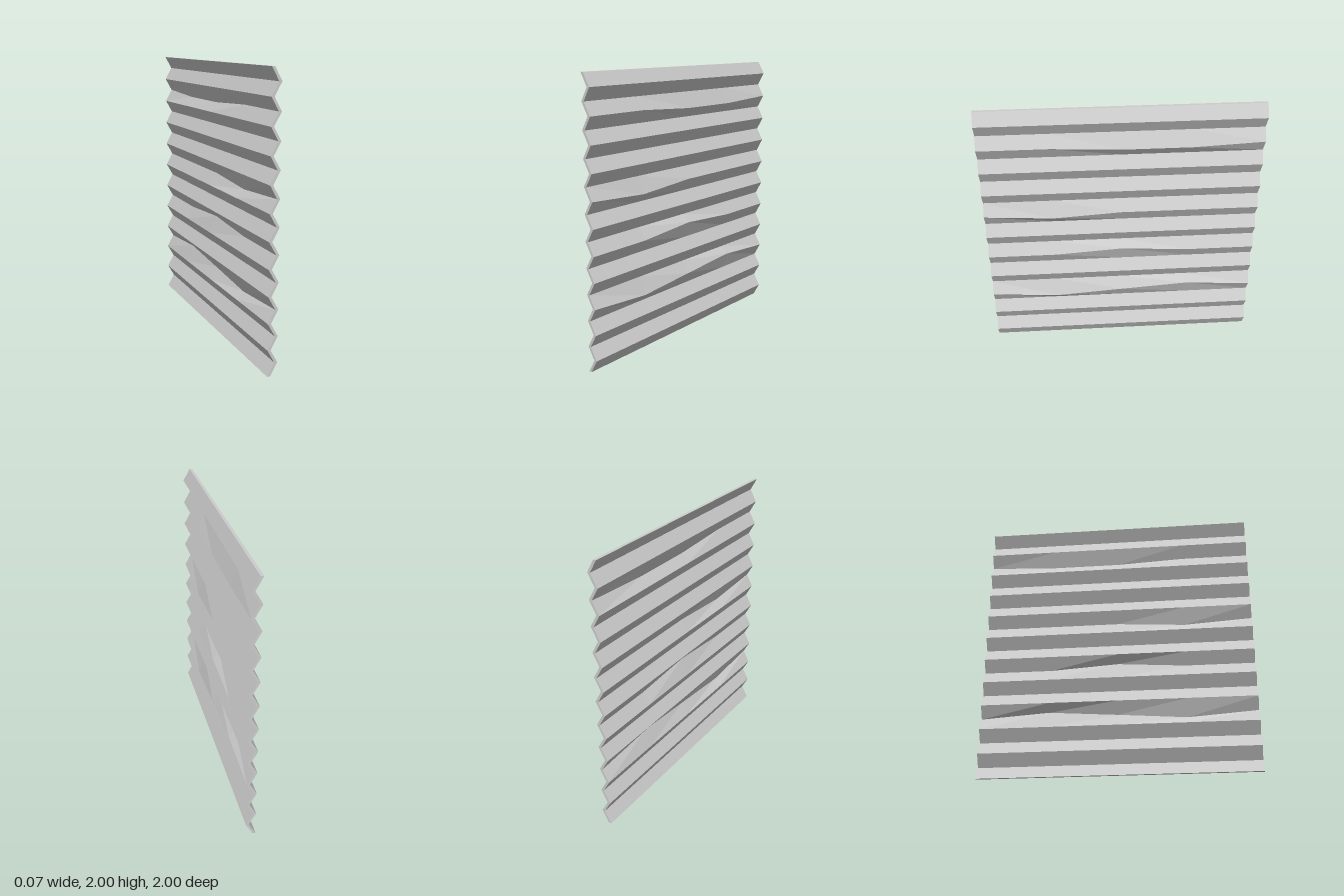
import * as THREE from 'three';

const FOLDS = 22;        // zigzag strips from bottom to top
const STATIONS = 4;      // spans along the length
const HALF_DEPTH = 0.036;
const THICKNESS = 0.021;

// Dents: vertical shift of a ridge at z = -1, -0.5, 0, 0.5, 1
const DENTS = {
  5: [0, 0.034, 0, -0.036, 0],
  9: [0, 0, 0.033, 0, 0],
  13: [0, 0, 0, -0.031, 0],
  19: [0, -0.024, -0.024, 0, 0],
};

// Corner of the sheet at fold k and station j, on its -x (0) or +x (1) face
function corner(k, j, side) {
  const left = k % 2 ? HALF_DEPTH - THICKNESS : -HALF_DEPTH;
  const dent = DENTS[k] ? DENTS[k][j] : 0;
  return [left + side * THICKNESS, (2 * k) / FOLDS + dent, -1 + (2 * j) / STATIONS];
}

function corrugatedSheet() {
  const pos = [];
  const quad = (a, b, c, d) => pos.push(...a, ...b, ...c, ...a, ...c, ...d);
  const L = (k, j) => corner(k, j, 0);
  const R = (k, j) => corner(k, j, 1);

  // Both folded faces
  for (let k = 0; k < FOLDS; k++) {
    for (let j = 0; j < STATIONS; j++) {
      quad(L(k, j), L(k, j + 1), L(k + 1, j + 1), L(k + 1, j));
      quad(R(k, j), R(k + 1, j), R(k + 1, j + 1), R(k, j + 1));
    }
    // Zigzag end edges
    const n = STATIONS;
    quad(L(k, n), R(k, n), R(k + 1, n), L(k + 1, n));
    quad(L(k, 0), L(k + 1, 0), R(k + 1, 0), R(k, 0));
  }
  // Bottom and top edges
  for (let j = 0; j < STATIONS; j++) {
    const t = FOLDS;
    quad(L(0, j), R(0, j), R(0, j + 1), L(0, j + 1));
    quad(L(t, j), L(t, j + 1), R(t, j + 1), R(t, j));
  }

  const geometry = new THREE.BufferGeometry();
  geometry.setAttribute('position', new THREE.Float32BufferAttribute(pos, 3));
  geometry.computeVertexNormals();
  return geometry;
}

export function createModel() {
  const group = new THREE.Group();
  group.name = 'corrugatedPanel';
  const sheet = new THREE.Mesh(
    corrugatedSheet(),
    new THREE.MeshStandardMaterial({ color: 0xcccccc, flatShading: true })
  );
  sheet.name = 'corrugatedSheet';
  group.add(sheet);
  return group;
}
